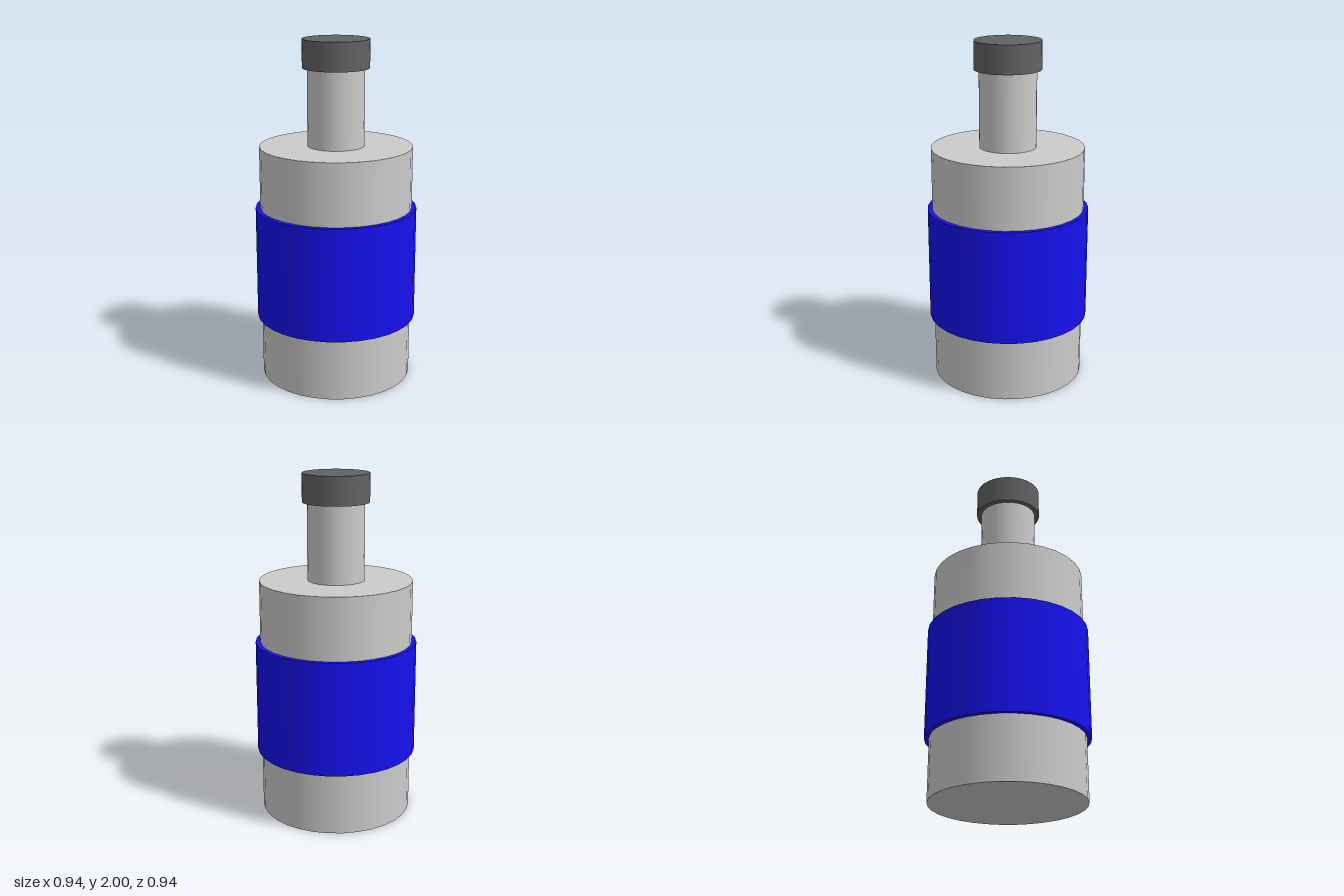
import * as THREE from 'three';

const SIDES = 32;

export function createModel() {
  const model = new THREE.Group();
  const grey = new THREE.MeshStandardMaterial({ color: 0xcccccc });
  const dark = new THREE.MeshStandardMaterial({ color: 0x626262 });
  const blue = new THREE.MeshStandardMaterial({ color: 0x1610ee });

  // Upright cylinder spanning two heights
  function addCylinder(name, radius, bottom, top, material) {
    const geometry = new THREE.CylinderGeometry(radius, radius, top - bottom, SIDES);
    const mesh = new THREE.Mesh(geometry, material);
    mesh.name = name;
    mesh.position.y = (bottom + top) / 2;
    model.add(mesh);
  }

  addCylinder('body', 0.443, 0, 1.39, grey);
  addCylinder('band', 0.47, 0.365, 1.028, blue);
  addCylinder('neck', 0.165, 1.39, 1.836, grey);
  addCylinder('cap', 0.193, 1.836, 2, dark);

  return model;
}
